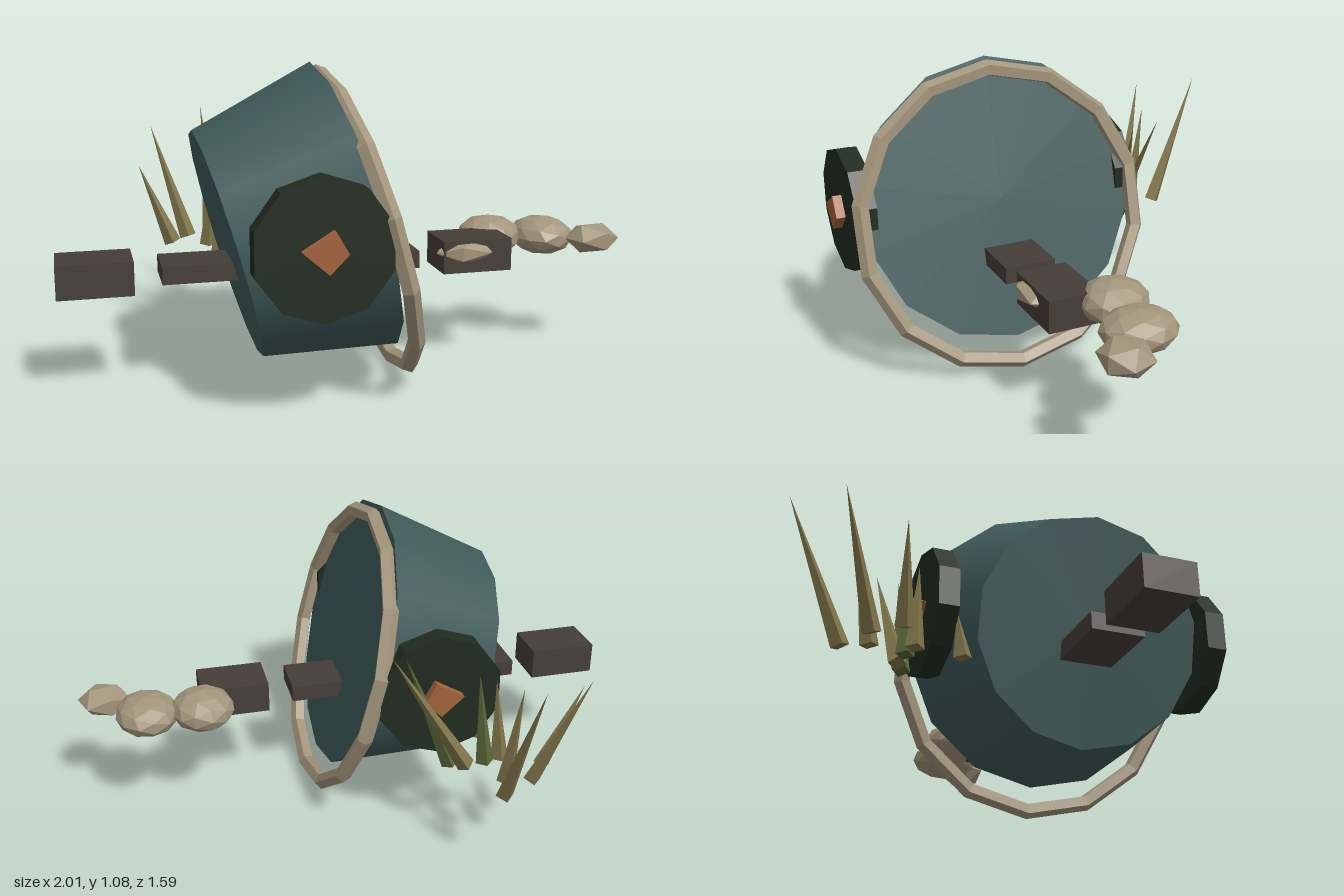
import * as THREE from 'three';

const mat = (name, color, flatShading = true) => {
  const m = new THREE.MeshStandardMaterial({ color, flatShading });
  m.name = name;
  return m;
};

export function createModel() {
  const root = new THREE.Group();
  root.name = 'tiltedDrumWreck';
  const teal = mat('tealMetal', 0x3f5a5a, false);
  const bone = mat('paleStone', 0xa4967c);
  const wheelGreen = mat('darkGreen', 0x212c20);
  const copper = mat('copper', 0xa3633c);
  const wood = mat('darkWood', 0x463e38);
  const straw = mat('dryGrass', 0x82774c);
  const green = mat('greenGrass', 0x5a683a);

  const add = (name, geo, material, x, y, z, parent = root) => {
    const mesh = new THREE.Mesh(geo, material);
    mesh.name = name;
    mesh.position.set(x, y, z);
    parent.add(mesh);
    return mesh;
  };

  const midZ = 0.235;
  const tilt = -Math.PI * 75 / 180;

  // Tapered drum lying on its side, with a loose rim slipped off its wide end
  const drum = add('drum', new THREE.CylinderGeometry(0.505, 0.4, 0.44, 14, 1, false, Math.PI / 2),
    teal, -0.228, 0.54, midZ);
  drum.rotation.z = tilt;
  const rimGeo = new THREE.TorusGeometry(0.525, 0.03, 5, 14).rotateX(Math.PI / 2);
  add('looseRim', rimGeo, bone, 0.018, 0.54, midZ).rotation.z = tilt;

  // Wheels and hubs, mirrored about the drum
  const hubShape = new THREE.Shape([[-0.075, 0.005], [0.005, -0.065], [0.065, -0.005], [0.025, 0.065]]
    .map(([x, y]) => new THREE.Vector2(x, y)));
  const hubGeo = new THREE.ExtrudeGeometry(hubShape, { depth: 0.13, bevelEnabled: false }).translate(0, 0, -0.065);
  const wheelGeo = new THREE.CylinderGeometry(0.225, 0.225, 0.072, 10).rotateX(Math.PI / 2);
  for (const side of [1, -1]) {
    add('wheel', wheelGeo, wheelGreen, -0.22, 0.57, midZ + side * 0.492);
    add('hub', hubGeo, copper, -0.22, 0.57, midZ + side * 0.495);
  }

  // Beam through the drum and two end blocks
  add('beam', new THREE.BoxGeometry(0.88, 0.06, 0.185), wood, -0.22, 0.405, 0.228);
  for (const x of [-0.875, 0.435])
    add('block', new THREE.BoxGeometry(0.25, 0.115, 0.18), wood, x, 0.403, 0.23);

  // Faceted stones: centre, half sizes, detail, turn
  const stones = [
    [0.565, 0.42, 0.09, 0.118, 0.075, 0.12, 1, 0.2],
    [0.765, 0.415, 0.112, 0.115, 0.07, 0.132, 1, 0.7],
    [0.91, 0.422, 0.238, 0.1, 0.058, 0.09, 0, 0.3],
    [0.4, 0.418, 0.285, 0.115, 0.046, 0.078, 0, -0.3],
  ];
  for (const [x, y, z, a, b, c, detail, turn] of stones) {
    const geo = new THREE.IcosahedronGeometry(1, detail).rotateY(turn).scale(a, b, c);
    add('stone', geo, bone, x, y, z);
  }

  // Grass blades: base x, base z, tip x, tip y, tip z, colour
  const blades = [
    [-0.355, -0.59, -0.385, 0.83, -0.79, straw],
    [-0.48, -0.52, -0.605, 0.77, -0.65, straw],
    [-0.55, -0.435, -0.67, 0.64, -0.465, straw],
    [-0.39, -0.505, -0.41, 0.72, -0.565, straw],
    [-0.29, -0.385, -0.01, 0.8, -0.4, straw],
    [-0.24, -0.36, -0.08, 0.75, -0.335, green],
    [-0.42, -0.365, -0.4, 0.64, -0.35, straw],
    [-0.36, -0.38, -0.33, 0.68, -0.37, green],
    [-0.4, -0.2, -0.4, 0.5, -0.22, straw],
  ];
  const grass = new THREE.Group();
  grass.name = 'grassTuft';
  root.add(grass);
  const up = new THREE.Vector3(0, 1, 0);
  for (const [bx, bz, tx, ty, tz, material] of blades) {
    const dir = new THREE.Vector3(tx - bx, ty - 0.335, tz - bz);
    const length = dir.length();
    const geo = new THREE.ConeGeometry(0.032, length, 4).translate(0, length / 2, 0);
    add('grassBlade', geo, material, bx, 0.335, bz, grass)
      .quaternion.setFromUnitVectors(up, dir.normalize());
  }
  return root;
}
